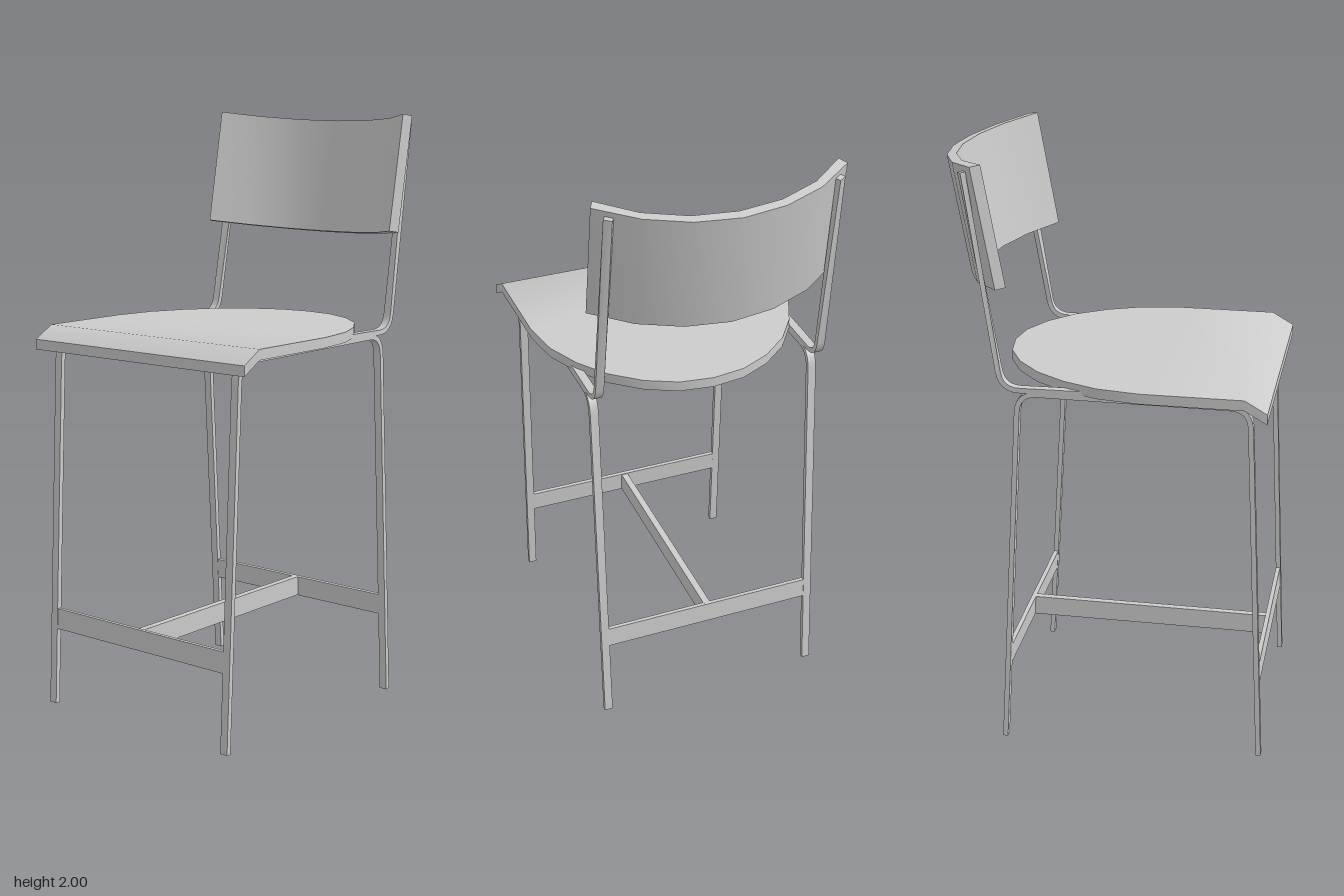
import * as THREE from 'three';
import { toCreasedNormals } from 'three/addons/utils/BufferGeometryUtils.js';

const material = new THREE.MeshStandardMaterial({ color: 0xcccccc });
const V = (x, y, z) => new THREE.Vector3(x, y, z);

// Skin over four-cornered rings, closed at both ends
function loft(rings, crease = 0.6) {
  const index = [];
  const quad = (a, b, c, d) => index.push(a, b, c, a, c, d);
  for (let r = 0; r < rings.length - 1; r++) {
    for (let i = 0; i < 4; i++) {
      const j = (i + 1) % 4, a = r * 4, b = a + 4;
      quad(a + i, a + j, b + j, b + i);
    }
  }
  const e = (rings.length - 1) * 4;
  quad(0, 3, 2, 1);
  quad(e, e + 1, e + 2, e + 3);
  const geo = new THREE.BufferGeometry().setFromPoints(rings.flat());
  geo.setIndex(index);
  return toCreasedNormals(geo, crease);
}

// Polyline with rounded corners
function rounded(corners, radius, steps = 6) {
  const pts = [corners[0]];
  for (let i = 1; i < corners.length - 1; i++) {
    const c = corners[i];
    const toward = (p) => p.clone().sub(c).setLength(radius).add(c);
    pts.push(...new THREE.QuadraticBezierCurve3(
      toward(corners[i - 1]), c, toward(corners[i + 1])).getPoints(steps));
  }
  pts.push(corners[corners.length - 1]);
  return pts;
}

// Flat bar swept along a path; twist(point) turns its width about y
function bar(points, twist = () => 0, width = 0.028, thick = 0.017) {
  return loft(points.map((p, i) => {
    const t = points[Math.min(i + 1, points.length - 1)].clone()
      .sub(points[Math.max(i - 1, 0)]).normalize();
    const a = twist(p);
    const w = V(Math.cos(a), 0, Math.sin(a));
    const n = t.clone().cross(w).setLength(thick / 2);
    w.copy(n).cross(t).setLength(width / 2);
    return [[-1, -1], [1, -1], [1, 1], [-1, 1]].map(([s, q]) =>
      p.clone().addScaledVector(w, s).addScaledVector(n, q));
  }));
}

export function createModel() {
  const model = new THREE.Group();
  const add = (name, geo, x = 0, y = 0, z = 0) => {
    const mesh = new THREE.Mesh(geo, material);
    mesh.name = name;
    mesh.position.set(x, y, z);
    model.add(mesh);
    return mesh;
  };

  // Seat: rounded at the back, folded down at the front [z, half width, top y]
  const rows = [
    [-0.36, 0.002, 1.308], [-0.345, 0.11, 1.308], [-0.295, 0.212, 1.308],
    [-0.215, 0.306, 1.308], [-0.115, 0.376, 1.308], [0, 0.426, 1.308],
    [0.14, 0.448, 1.308], [0.47, 0.448, 1.308], [0.543, 0.448, 1.266],
  ];
  add('seat', loft(rows.map(([z, w, y]) => [
    V(-w, y - 0.034, z), V(w, y - 0.034, z), V(w, y, z), V(-w, y, z)])));

  // Side frames: a leg loop and a back upright on each side
  for (const side of [-1, 1]) {
    const x = side * 0.381 - 0.009;
    const label = side > 0 ? 'left' : 'right';
    add(label + 'LegLoop', bar(rounded([
      V(x, 0.018, 0.545), V(x, 1.262, 0.485), V(x, 1.266, -0.26), V(x, 0, -0.329),
    ], 0.065)));
    const top = side * 0.37 - 0.005;
    add(label + 'BackUpright', bar(rounded([
      V(x, 1.283, 0.4), V(x, 1.276, -0.312), V(top, 1.97, -0.427),
    ], 0.06), (p) => side * 0.6 * THREE.MathUtils.clamp((p.y - 1.33) / 0.64, 0, 1)));
  }

  // Stretchers between the legs, joined by a middle rail
  const cross = new THREE.BoxGeometry(0.75, 0.07, 0.015);
  add('frontStretcher', cross, -0.009, 0.314, 0.53).rotation.x = -0.05;
  add('backStretcher', cross, -0.009, 0.311, -0.312).rotation.x = 0.055;
  add('middleStretcher', new THREE.BoxGeometry(0.024, 0.068, 0.835), -0.009, 0.312, 0.109);

  // Curved backrest, leaning back
  const inner = [[0.395, 0], [0.28, -0.09], [0.145, -0.145], [0, -0.163]];
  const outer = [[0.411, -0.031], [0.285, -0.122], [0.147, -0.177], [0, -0.197]];
  const mirrored = (half) => [
    ...half.map(([x, z]) => [-x, z]), ...half.slice(0, -1).reverse()];
  const front = mirrored(inner), back = mirrored(outer);
  const backrest = add('backrest', loft(front.map(([x, z], i) => {
    const [bx, bz] = back[i];
    return [V(bx, 0.392, bz), V(x, 0.392, z), V(x, 0, z), V(bx, 0, bz)];
  })), -0.004, 1.615, -0.29);
  backrest.rotation.x = -0.18;
  return model;
}
